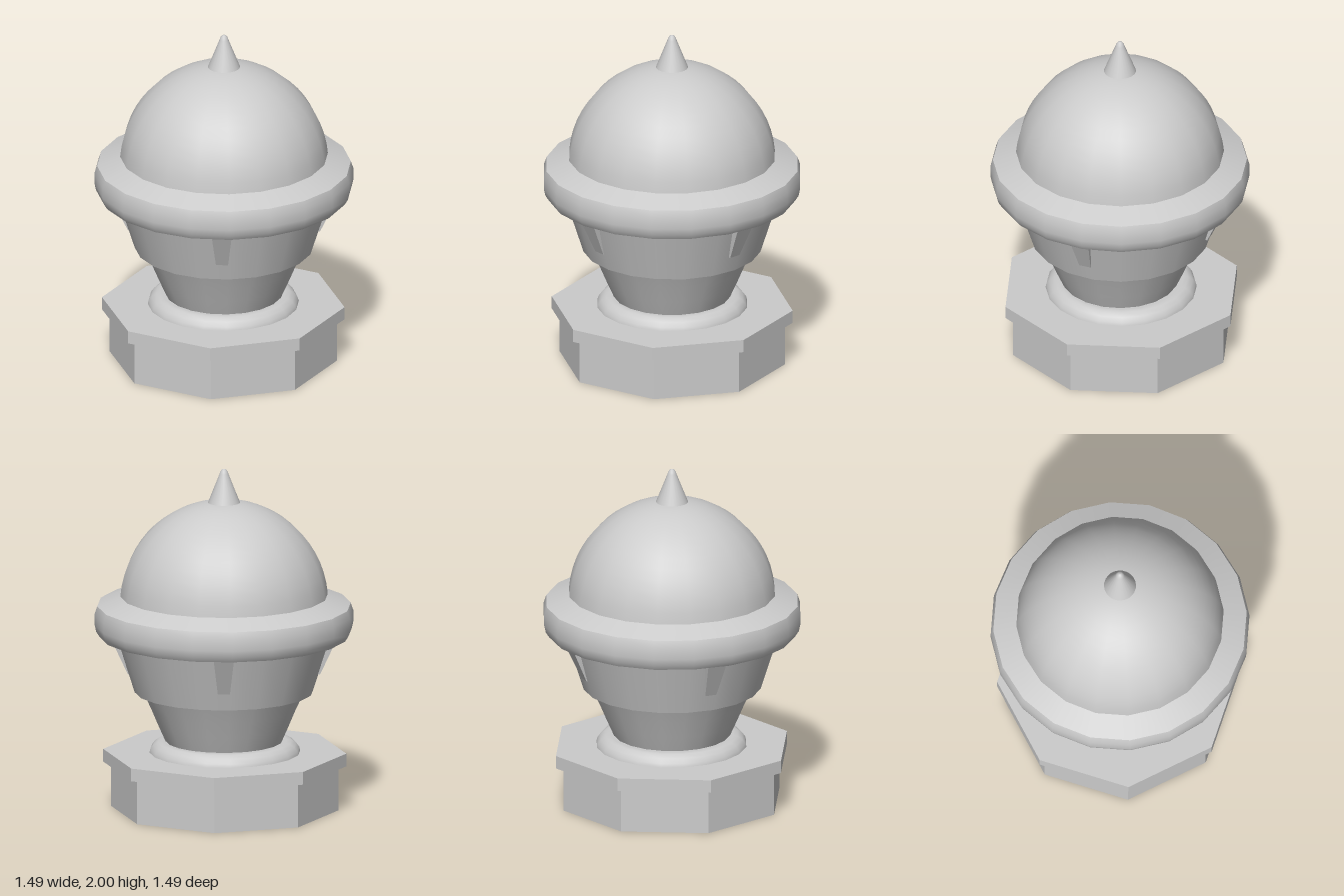
import * as THREE from 'three';

const smooth = new THREE.MeshStandardMaterial({ color: 0xcccccc, side: THREE.DoubleSide });
const faceted = new THREE.MeshStandardMaterial({ color: 0xcccccc, side: THREE.DoubleSide, flatShading: true });

// Turned part from [radius, height] points, listed bottom to top
function turned(name, points, sides = 20, material = smooth) {
  const profile = points.map(([r, y]) => new THREE.Vector2(r, y));
  const mesh = new THREE.Mesh(new THREE.LatheGeometry(profile, sides), material);
  mesh.name = name;
  return mesh;
}

// Tapered bracket: a box whose lower end narrows and leans in to the body
function bracket(angle) {
  const geometry = new THREE.BoxGeometry(1, 1, 1);
  const pos = geometry.attributes.position;
  for (let i = 0; i < pos.count; i++) {
    const top = pos.getY(i) > 0, outer = pos.getZ(i) > 0;
    const halfWidth = top ? 0.06 : 0.035;
    const radius = top ? (outer ? 0.66 : 0.56) : (outer ? 0.553 : 0.5);
    pos.setXYZ(i, Math.sign(pos.getX(i)) * halfWidth, top ? 1.03 : 0.795, radius);
  }
  const mesh = new THREE.Mesh(geometry, faceted);
  mesh.name = 'bracket';
  mesh.rotation.y = angle;
  return mesh;
}

export function createModel() {
  const model = new THREE.Group();
  model.name = 'domedFinial';

  // Hollow octagonal plinth with a projecting lip, and the rounded collar on it
  const base = new THREE.Group();
  base.name = 'base';
  base.position.x = -0.007;
  base.add(
    turned('plinth', [[0.657, 0], [0.657, 0.26], [0.702, 0.26], [0.702, 0.335], [0, 0.335]], 8, faceted),
    turned('collar', [[0.435, 0.335], [0.43, 0.355], [0.412, 0.38], [0.385, 0.398], [0.36, 0.4]]),
    turned('collarTop', [[0.36, 0.4], [0, 0.4]])
  );
  model.add(base);

  // Flared neck and the stepped body above it
  model.add(
    turned('neck', [[0.338, 0.4], [0.38, 0.495], [0.422, 0.595], [0.466, 0.69]]),
    turned('bodyUnderside', [[0.44, 0.69], [0.515, 0.69]]),
    turned('body', [[0.515, 0.69], [0.62, 1.02]])
  );

  // Four brackets under the rim
  for (let i = 0; i < 4; i++) model.add(bracket(THREE.MathUtils.degToRad(50 + i * 90)));

  // Overhanging rim
  model.add(
    turned('rimUnderside', [[0.6, 1.02], [0.718, 1.02]]),
    turned('rim', [[0.718, 1.02], [0.737, 1.05], [0.746, 1.09], [0.746, 1.155], [0.731, 1.2]]),
    turned('rimSlope', [[0.731, 1.2], [0.59, 1.255]])
  );

  // Dome: an arc of a sphere sunk slightly below the rim
  const arc = [];
  const start = 0.075;
  for (let i = 0; i <= 14; i++) {
    const a = start + (Math.PI / 2 - start) * i / 14;
    arc.push([0.6 * Math.cos(a), 1.21 + 0.6 * Math.sin(a)]);
  }
  model.add(turned('dome', arc));

  // Blunt spike
  model.add(turned('spike', [[0.093, 1.8], [0.026, 1.97], [0.021, 1.985], [0.011, 1.997], [0, 2]], 24));

  return model;
}
